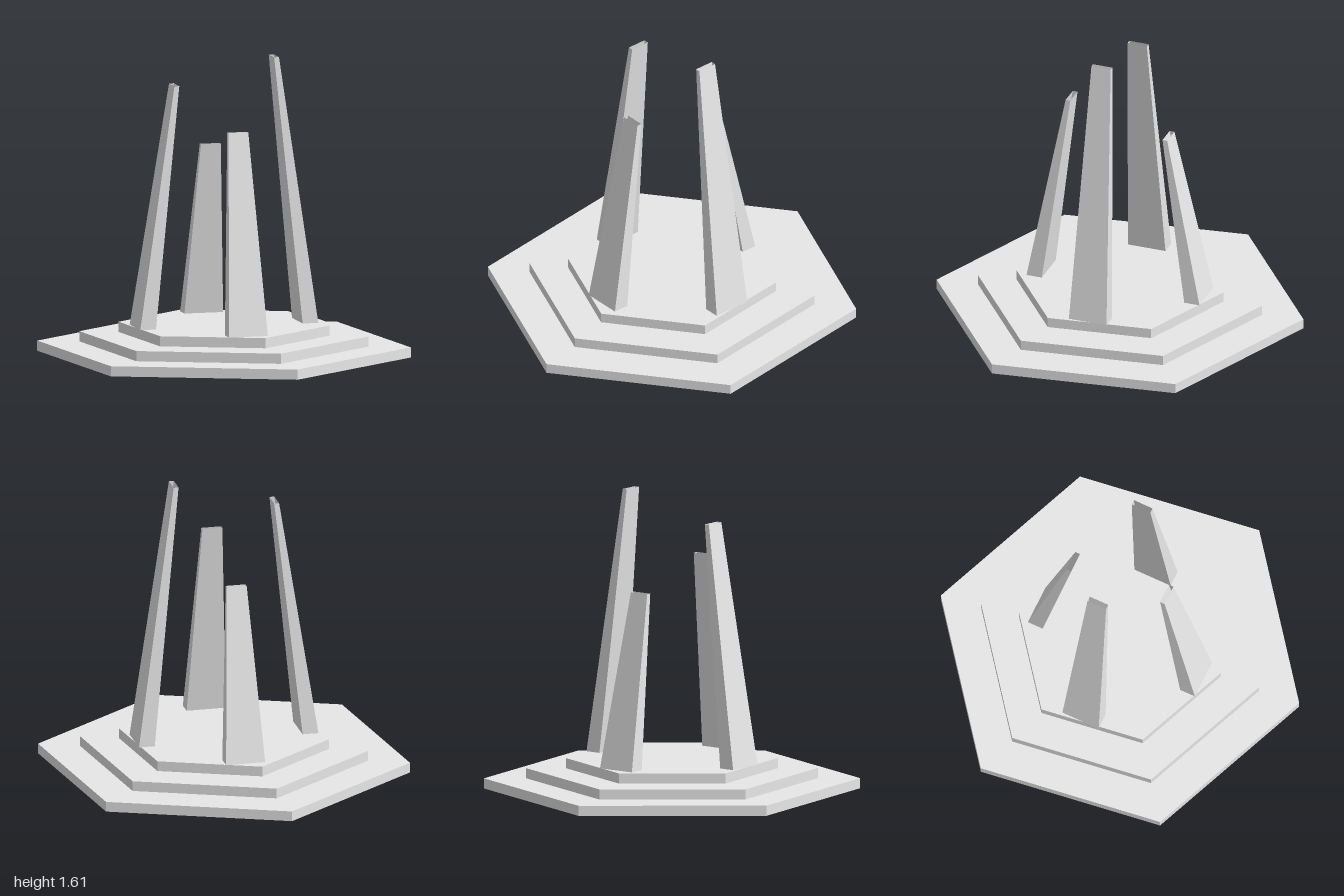
import * as THREE from 'three';

// Steps and pillars are open shells, so both sides show
const stone = new THREE.MeshStandardMaterial({ color: 0xe7e7e7, side: THREE.DoubleSide });
stone.name = 'pale grey stone';

const STEP = 0.055;
const BASE_TOP = 3 * STEP;

// Hexagonal platform step: walls and a top, open underneath
function makeStep(radius, level) {
  const profile = [[radius, 0], [radius, STEP], [0, STEP]].map(([x, y]) => new THREE.Vector2(x, y));
  const geometry = new THREE.LatheGeometry(profile, 6).toNonIndexed();
  geometry.computeVertexNormals();
  const mesh = new THREE.Mesh(geometry, stone);
  mesh.name = `platformStep${level + 1}`;
  mesh.position.y = STEP * level;
  mesh.rotation.y = -0.129;
  return mesh;
}

// Hollow four-sided slab, open at both ends, that narrows and leans inward toward its top
function makePillar(name, top, angle) {
  const height = top - BASE_TOP;
  const geometry = new THREE.CylinderGeometry(Math.SQRT1_2, Math.SQRT1_2, 1, 4, 1, true)
    .rotateY(Math.PI / 4)
    .toNonIndexed();
  const p = geometry.attributes.position;
  for (let i = 0; i < p.count; i++) {
    const upper = p.getY(i) > 0;
    const [width, depth, distance] = upper ? [0.11, 0.027, 0.277] : [0.215, 0.087, 0.451];
    p.setXYZ(i, p.getX(i) * width, upper ? height : 0, p.getZ(i) * depth + distance);
  }
  geometry.computeVertexNormals();
  const mesh = new THREE.Mesh(geometry, stone);
  mesh.name = name;
  mesh.position.y = BASE_TOP;
  mesh.rotation.y = angle;
  return mesh;
}

export function createModel() {
  const model = new THREE.Group();
  model.name = 'pillarMonument';

  [1.008, 0.781, 0.569].forEach((radius, level) => model.add(makeStep(radius, level)));

  // Four pillars of different heights, one on each diagonal
  [
    ['frontLeftPillar', 1.24],
    ['backLeftPillar', 1.605],
    ['backRightPillar', 1.1],
    ['frontRightPillar', 1.47],
  ].forEach(([name, top], i) => model.add(makePillar(name, top, Math.PI / 4 + i * Math.PI / 2)));

  return model;
}
